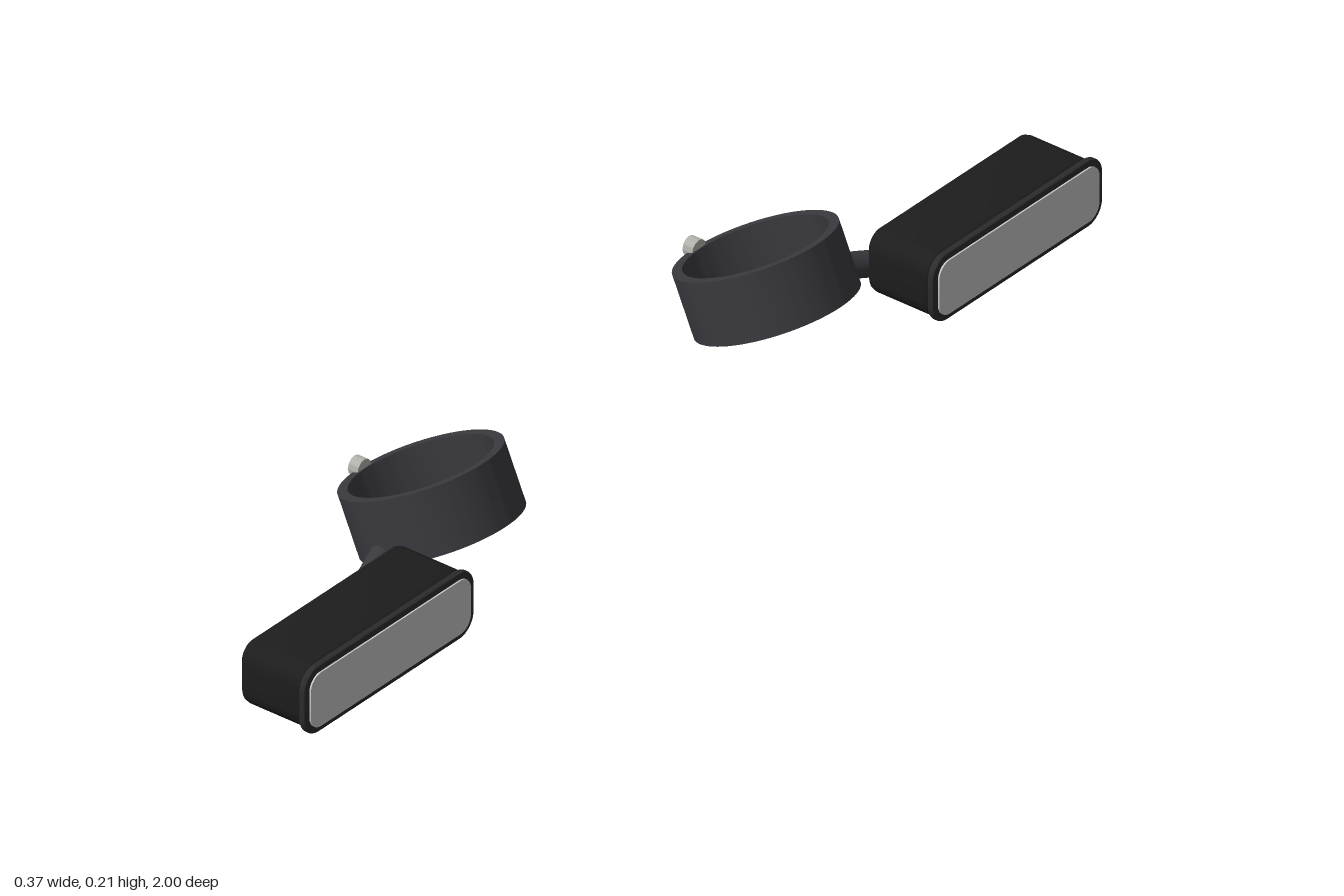
import * as THREE from 'three';
import { toCreasedNormals } from 'three/addons/utils/BufferGeometryUtils.js';

const mat = (name, color) => new THREE.MeshStandardMaterial({ name, color });

function roundedRect(w, h, r) {
  const s = new THREE.Shape(), x = w / 2, y = h / 2;
  s.moveTo(-x + r, -y);
  s.lineTo(x - r, -y);
  s.absarc(x - r, -y + r, r, -Math.PI / 2, 0, false);
  s.lineTo(x, y - r);
  s.absarc(x - r, y - r, r, 0, Math.PI / 2, false);
  s.lineTo(-x + r, y);
  s.absarc(-x + r, y - r, r, Math.PI / 2, Math.PI, false);
  s.lineTo(-x, -y + r);
  s.absarc(-x + r, -y + r, r, Math.PI, Math.PI * 1.5, false);
  return s;
}

// Rounded slab facing +x, spanning x0..x1, with w along z and h along y
function slab(x0, x1, w, h, r, bevel, segments) {
  const geo = new THREE.ExtrudeGeometry(roundedRect(w - 2 * bevel, h - 2 * bevel, r - bevel), {
    depth: x1 - x0 - 2 * bevel, bevelEnabled: bevel > 0, bevelSize: bevel,
    bevelThickness: bevel, bevelSegments: segments, curveSegments: 8,
  });
  geo.translate(0, 0, x0 + bevel).rotateY(Math.PI / 2);
  return toCreasedNormals(geo, 0.6);
}

function clampRing(radius, inner, height) {
  const shape = new THREE.Shape().absarc(0, 0, radius, 0, Math.PI * 2, false);
  shape.holes.push(new THREE.Path().absarc(0, 0, inner, 0, Math.PI * 2, true));
  const geo = new THREE.ExtrudeGeometry(shape, { depth: height, bevelEnabled: false, curveSegments: 48 });
  geo.translate(0, 0, -height / 2).rotateX(-Math.PI / 2);
  return toCreasedNormals(geo, 0.6);
}

export function createModel() {
  const model = new THREE.Group();
  model.name = 'barMirrors';
  const metal = mat('darkGreyMetal', 0x3a393e);
  const black = mat('blackPlastic', 0x1d1d1d);
  const trim = mat('rimGrey', 0x2c2c2e);
  const glass = mat('mirrorGlass', 0xc8c8c8);
  const steel = mat('boltSteel', 0xb4b4ae);

  for (const side of [1, -1]) {
    const unit = new THREE.Group();
    unit.name = side > 0 ? 'frontMirror' : 'backMirror';
    model.add(unit);
    const add = (name, geo, material, x, y, z) => {
      const m = new THREE.Mesh(geo, material);
      m.name = name;
      m.position.set(x, y, z * side);
      unit.add(m);
      return m;
    };

    // Tilted clamp and its bolt
    add('clampRing', clampRing(0.139, 0.122, 0.111), metal, -0.03, 0.11, 0.419).rotation.z = 0.41;
    const bolt = new THREE.CylinderGeometry(0.017, 0.017, 0.02, 12).rotateZ(Math.PI / 2);
    add('clampBolt', toCreasedNormals(bolt, 0.6), steel, -0.177, 0.11, 0.419);

    // Curved arm with a rounded end
    const path = [[-0.023, 0.07, 0.548], [-0.008, 0.05, 0.61], [0.014, 0.033, 0.68],
      [0.032, 0.028, 0.745], [0.045, 0.035, 0.79]].map(([x, y, z]) => new THREE.Vector3(x, y, z * side));
    const curve = new THREE.CatmullRomCurve3(path);
    add('arm', new THREE.TubeGeometry(curve, 32, 0.022, 20), metal, 0, 0, 0);
    add('armEnd', new THREE.SphereGeometry(0.022, 20, 12), metal, 0.045, 0.035, 0.79);

    // Bracket joining arm and housing
    add('bracket', new THREE.BoxGeometry(0.068, 0.046, 0.05), metal, 0.046, 0.043, 0.785);

    // Housing, rim and reflecting face
    add('housing', slab(0.04, 0.178, 0.412, 0.119, 0.035, 0.016, 3), black, 0, 0.0855, 0.785);
    add('rim', slab(0.171, 0.183, 0.425, 0.123, 0.036, 0.003, 2), trim, 0, 0.0855, 0.787);
    add('mirrorFace', slab(0.18, 0.186, 0.401, 0.1, 0.026, 0, 1), glass, 0, 0.0855, 0.787);
  }
  return model;
}
